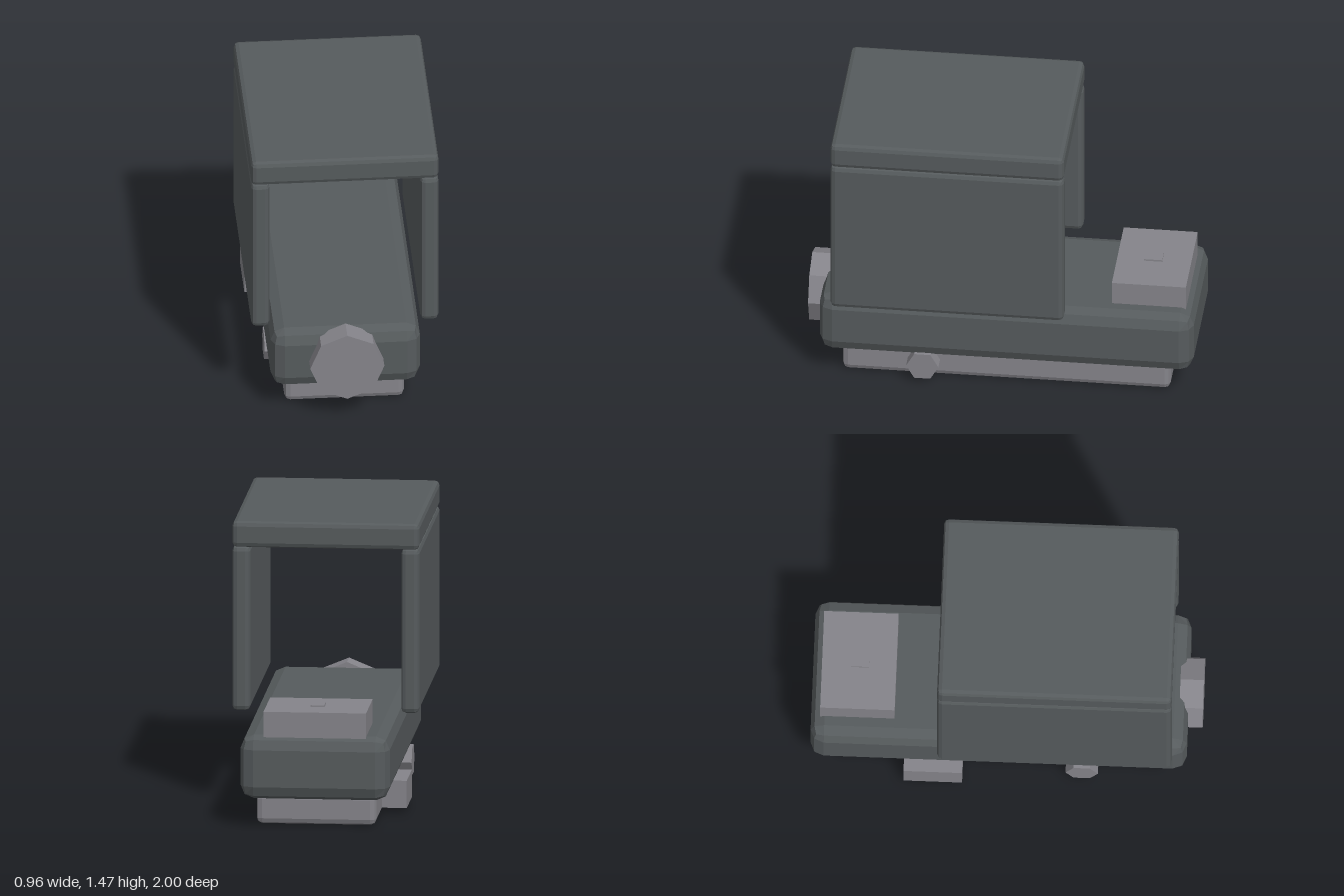
import * as THREE from 'three';
import { RoundedBoxGeometry } from 'three/addons/geometries/RoundedBoxGeometry.js';

export function createModel() {
  const model = new THREE.Group();
  const slate = new THREE.MeshStandardMaterial({ color: 0x565b5d });
  slate.name = 'slate';
  const steel = new THREE.MeshStandardMaterial({ color: 0x85848a });
  steel.name = 'steel';

  function add(name, geometry, material) {
    const flat = geometry.index ? geometry.toNonIndexed() : geometry;
    flat.computeVertexNormals(); // faceted bevels and sides
    const mesh = new THREE.Mesh(flat, material);
    mesh.name = name;
    model.add(mesh);
  }

  // Box given by its [min, max] on each axis, with an optional two-step bevel
  function box(name, material, [x0, x1], [y0, y1], [z0, z1], bevel = 0) {
    const size = [x1 - x0, y1 - y0, z1 - z0];
    const g = bevel
      ? new RoundedBoxGeometry(...size, 1, bevel)
      : new THREE.BoxGeometry(...size);
    g.translate((x0 + x1) / 2, (y0 + y1) / 2, (z0 + z1) / 2);
    add(name, g, material);
  }

  // Main body and the narrower base under it
  box('body', slate, [-0.383, 0.383], [0.148, 0.48], [-1, 0.925], 0.07);
  box('base', steel, [-0.307, 0.307], [0.003, 0.165], [-0.877, 0.81], 0.03);

  // Hood: roof and two side walls
  box('hoodRoof', slate, [-0.48, 0.48], [1.335, 1.47], [-0.347, 0.853], 0.025);
  for (const s of [-1, 1]) {
    const x = [s * 0.387, s * 0.48].sort((a, b) => a - b);
    box(s > 0 ? 'leftWall' : 'rightWall', slate, x, [0.485, 1.34], [-0.347, 0.853], 0.025);
  }

  // Rear block with a small button on top
  box('rearBlock', steel, [-0.263, 0.263], [0.45, 0.603], [-0.953, -0.572]);
  box('rearButton', steel, [-0.036, 0.036], [0.59, 0.612], [-0.805, -0.712]);

  // Lug on the right side of the base
  box('sideLug', steel, [-0.433, -0.29], [0.028, 0.17], [-0.52, -0.22]);

  // Octagonal front cap
  const cap = new THREE.CylinderGeometry(0.19, 0.19, 0.12, 8);
  cap.rotateX(Math.PI / 2).translate(0, 0.315, 0.94);
  add('frontCap', cap, steel);

  // Hexagonal knobs on both sides
  for (const s of [-1, 1]) {
    const knob = new THREE.CylinderGeometry(0.083, 0.083, 0.1, 6);
    knob.rotateZ(Math.PI / 2).translate(s * 0.333, 0.1, 0.39);
    add(s > 0 ? 'leftKnob' : 'rightKnob', knob, steel);
  }

  return model;
}
